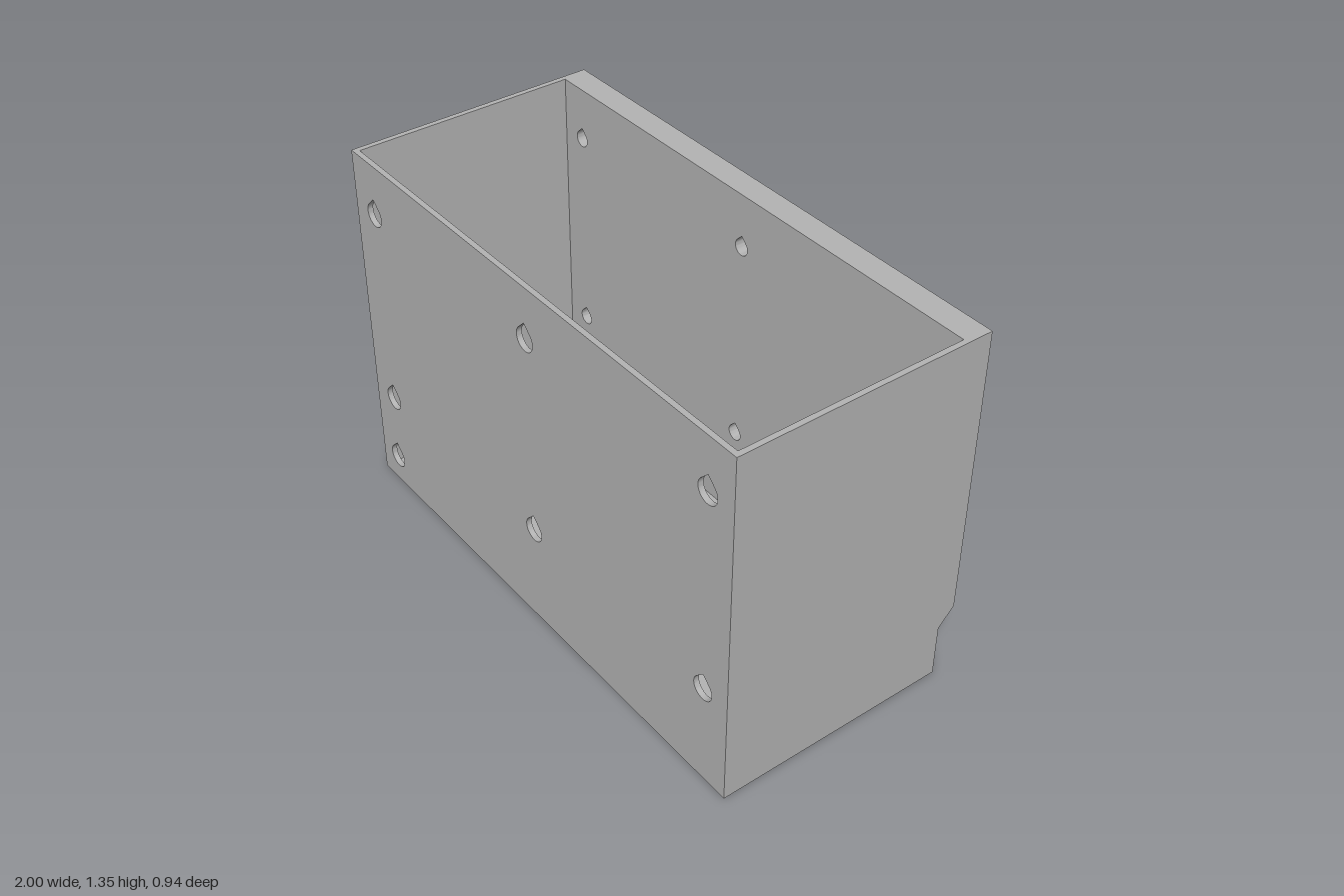
import * as THREE from 'three';
import { toCreasedNormals } from 'three/addons/utils/BufferGeometryUtils.js';

const H = 1.345, FRONT = 0.47, BACK = -0.47, PANEL = -0.41, WALL = 0.02;
const columns = [-0.885, 0, 0.885], rows = [0.385, 1.15];

// Round outline with a 45 degree point, upwards (dir 1) or downwards (dir -1)
function teardrop(x, y, r, dir, PathType) {
  const pts = [];
  for (let i = 0; i <= 24; i++) {
    const a = Math.PI * (0.75 + 1.5 * i / 24);
    pts.push(new THREE.Vector2(x + r * Math.cos(a), y + dir * r * Math.sin(a)));
  }
  pts.push(new THREE.Vector2(x, y + dir * r * Math.SQRT2));
  return new PathType(pts);
}

function polygon(points) {
  return new THREE.Shape(points.map(([x, y]) => new THREE.Vector2(x, y)));
}

function rectangle(x0, x1, y0, y1) {
  return polygon([[x0, y0], [x1, y0], [x1, y1], [x0, y1]]);
}

export function createModel() {
  const group = new THREE.Group();
  const grey = new THREE.MeshStandardMaterial({ color: 0xb3b3b3 });

  function add(name, geometry) {
    const mesh = new THREE.Mesh(geometry, grey);
    mesh.name = name;
    group.add(mesh);
  }

  // Upright plate spanning z0..z1, holes given as [x, y, radius]
  function plate(name, shape, z0, z1, holes = []) {
    for (const [x, y, r] of holes) shape.holes.push(teardrop(x, y, r, 1, THREE.Path));
    const g = new THREE.ExtrudeGeometry(shape, { depth: z1 - z0, bevelEnabled: false });
    add(name, toCreasedNormals(g.translate(0, 0, z0), 0.5));
  }

  // Side profile of [z, y] points stretched from x0 to x1
  function prism(name, profile, x0, x1) {
    const shape = polygon(profile.map(([z, y]) => [-z, y]));
    const g = new THREE.ExtrudeGeometry(shape, { depth: x1 - x0, bevelEnabled: false });
    add(name, g.rotateY(Math.PI / 2).translate(x0, 0, 0));
  }

  function box(name, x0, x1, y0, y1, z0, z1) {
    const g = new THREE.BoxGeometry(x1 - x0, y1 - y0, z1 - z0);
    add(name, g.translate((x0 + x1) / 2, (y0 + y1) / 2, (z0 + z1) / 2));
  }

  const spots = [[-0.9, 0.11]];
  for (const x of columns) for (const y of rows) spots.push([x, y]);
  const holesOf = (r) => spots.map(([x, y]) => [x, y, r]);

  // Bin walls and floor
  plate('frontWall', rectangle(-1, 1, 0, H), FRONT - WALL, FRONT, holesOf(0.043));
  plate('backPanel', rectangle(-0.98, 0.98, 0, H), PANEL, -0.375, holesOf(0.03));
  box('floor', -0.98, 0.98, 0, WALL, -0.375, FRONT - WALL);
  prism('leftWall', [[FRONT - WALL, 0], [FRONT - WALL, H], [BACK, H], [BACK, 0.265], [PANEL, 0.2], [PANEL, 0]], 0.98, 1);
  prism('rightWall', [[FRONT - WALL, 0], [FRONT - WALL, H], [BACK, H], [BACK, 0]], -1, -0.98);

  // Raised frame on the back
  prism('topRim', [[PANEL, H], [BACK, H], [BACK, H - 0.02], [PANEL, H - 0.08]], -0.98, 0.98);
  prism('bottomRim', [[PANEL, 0.285], [BACK, 0.285], [BACK, 0.265], [PANEL, 0.2]], -0.98, 0.98);

  // Corner foot with its screw hole
  plate('foot', rectangle(-0.98, -0.81, 0, 0.265), BACK, -0.44, [[-0.9, 0.11, 0.016]]);
  plate('footCounterbore', rectangle(-0.98, -0.81, 0, 0.265), -0.44, PANEL, [[-0.9, 0.11, 0.03]]);

  // Ribs interrupted by screw bosses
  for (const x of columns) {
    const stops = [0.285];
    for (const y of rows) {
      stops.push(y - 0.035, y + 0.043);
      plate('boss', teardrop(x, y, 0.045, -1, THREE.Shape), BACK, -0.44, [[x, y, 0.016]]);
      plate('bossCounterbore', teardrop(x, y, 0.045, -1, THREE.Shape), -0.44, PANEL, [[x, y, 0.03]]);
    }
    stops.push(H - 0.02);
    for (let i = 0; i < stops.length; i += 2) {
      box('rib', x - 0.01, x + 0.01, stops[i], stops[i + 1], BACK, PANEL);
    }
  }

  // Small catches inside the front corners
  for (const s of [-1, 1]) {
    box('catch', s * 0.977 - 0.004, s * 0.977 + 0.004, 1.24, 1.25, 0.38, 0.45);
  }
  return group;
}
